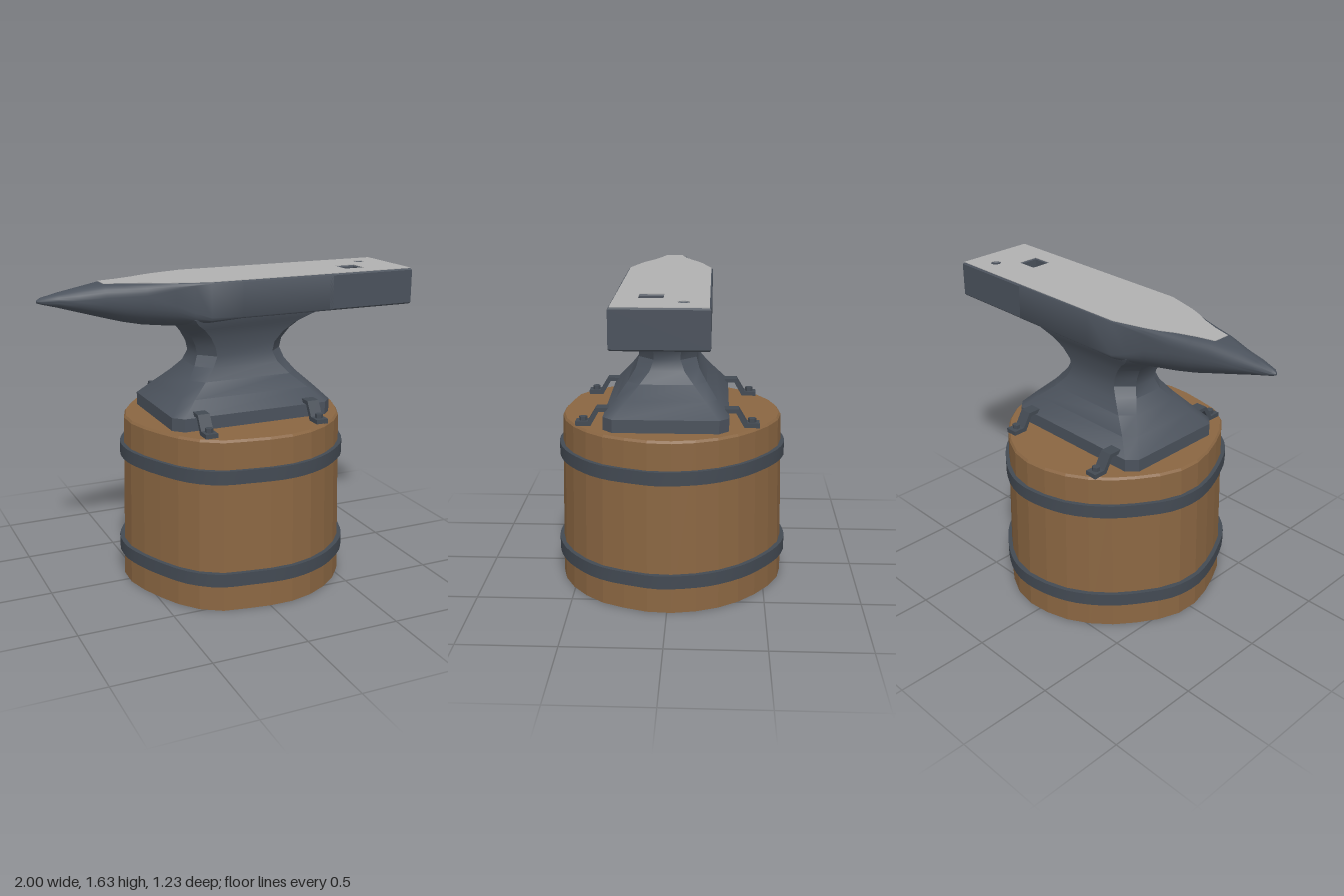
import * as THREE from 'three';
import { toCreasedNormals } from 'three/addons/utils/BufferGeometryUtils.js';

const V = (x, y, z) => new THREE.Vector3(x, y, z);
const CZ = 0.012; // middle line of the anvil in z

// Skin a list of closed rings; rings run counter-clockwise seen from the last ring
function loft(rings, crease, caps = true) {
  const pos = [], idx = [], n = rings[0].length;
  rings.forEach(r => r.forEach(p => pos.push(p.x, p.y, p.z)));
  for (let i = 0; i < rings.length - 1; i++) {
    for (let j = 0; j < n; j++) {
      const a = i * n + j, b = i * n + (j + 1) % n;
      idx.push(a, b, b + n, a, b + n, a + n);
    }
  }
  if (caps) [0, rings.length - 1].forEach(i => {
    const mid = V(0, 0, 0);
    rings[i].forEach(p => mid.addScaledVector(p, 1 / n));
    const m = pos.length / 3;
    pos.push(mid.x, mid.y, mid.z);
    for (let j = 0; j < n; j++) {
      const a = i * n + j, b = i * n + (j + 1) % n;
      if (i === 0) idx.push(m, b, a); else idx.push(m, a, b);
    }
  });
  const g = new THREE.BufferGeometry();
  g.setAttribute('position', new THREE.Float32BufferAttribute(pos, 3));
  g.setIndex(idx);
  return toCreasedNormals(g, crease);
}

// Irregular log outline (x, z), sampled as a closed curve
const outline = new THREE.CatmullRomCurve3([
  [0.07, -0.62], [-0.18, -0.57], [-0.37, -0.44], [-0.50, -0.27], [-0.57, -0.13],
  [-0.585, 0.02], [-0.56, 0.14], [-0.50, 0.29], [-0.40, 0.46], [-0.27, 0.56],
  [-0.13, 0.59], [0.11, 0.612], [0.32, 0.55], [0.51, 0.40], [0.58, 0.29],
  [0.61, 0.21], [0.655, 0.05], [0.645, -0.08], [0.61, -0.21], [0.55, -0.32],
  [0.457, -0.43], [0.24, -0.58],
].map(([x, z]) => V(x, 0, z)), true);
const logRing = (y, s, sides) => outline.getSpacedPoints(sides).slice(0, sides)
  .map(p => V(0.035 + (p.x - 0.035) * s, y, p.z * s));

// Rectangle with cut corners at height y
function cutRect(y, x0, x1, h, c) {
  const z0 = CZ - h, z1 = CZ + h;
  return [[x1 - c, z0], [x0 + c, z0], [x0, z0 + c], [x0, z1 - c],
    [x0 + c, z1], [x1 - c, z1], [x1, z1 - c], [x1, z0 + c]].map(([x, z]) => V(x, y, z));
}

// Cross-section of horn and body: flat top and bottom joined by elliptical corners
function bodyRing([x, w, yt, yu, t, yl, b, yb]) {
  const K = 7, up = [], low = [];
  for (let k = 0; k <= K; k++) {
    const a = k / K * Math.PI / 2, c = Math.cos(a), s = Math.sin(a);
    up.push([t + (w - t) * c, yu + (yt - yu) * s]);
    low.push([b + (w - b) * c, yl + (yb - yl) * s]);
  }
  const side = (list, sign) => list.map(([z, y]) => V(x, y, CZ + sign * z));
  return [...side(up, -1), ...side(up, 1).reverse(), ...side(low, 1), ...side(low, -1).reverse()];
}

// Square tool hole and round punch hole, as shape holes in (x, z)
function toolHoles() {
  const square = new THREE.Path([[0.655, 0.005], [0.655, 0.12], [0.77, 0.12], [0.77, 0.005]]
    .map(p => new THREE.Vector2(...p)));
  const round = new THREE.Path();
  round.absarc(0.86, -0.09, 0.028, 0, Math.PI * 2, true);
  return [square, round];
}

// Horizontal slab from an (x, z) outline, hanging down from y = top
function slab(points, holes, top, opts) {
  const s = new THREE.Shape(points.map(p => new THREE.Vector2(...p)));
  s.holes = holes;
  return new THREE.ExtrudeGeometry(s, { curveSegments: 16, ...opts })
    .rotateX(Math.PI / 2).translate(0, top, 0);
}

export function createModel() {
  const mat = (name, color) => Object.assign(new THREE.MeshStandardMaterial({ color }), { name });
  const steel = mat('dark steel', 0x4b525c);
  const iron = mat('band iron', 0x434a53);
  const wood = mat('wood', 0x8a6642);
  const bright = mat('polished steel', 0xb0b0b0);

  const model = new THREE.Group();
  model.name = 'anvilOnStump';
  const add = (name, geo, material, parent = model) => {
    const m = new THREE.Mesh(geo, material);
    m.name = name;
    parent.add(m);
    return m;
  };

  // Stump with a small bevel on the top rim
  add('stump', loft([logRing(0, 0.972, 30), logRing(0.895, 0.94, 30), logRing(0.907, 0.925, 30)], 0.03), wood);

  // Iron bands
  [['lowerBand', 0.14, 1], ['upperBand', 0.685, 0.977]].forEach(([name, y, s]) => {
    const rings = [[y, s - 0.06], [y, s], [y + 0.07, s], [y + 0.07, s - 0.06]]
      .map(([h, k]) => logRing(h, k, 60));
    add(name, loft(rings, 0.6, false), iron);
  });

  // Foot block and flared waist
  add('foot', loft([cutRect(0.905, -0.41, 0.485, 0.317, 0.05),
    cutRect(0.975, -0.41, 0.485, 0.317, 0.05)], 0.5), steel);
  add('waist', loft([
    [0.975, -0.41, 0.485, 0.317, 0.05],
    [1.05, -0.335, 0.415, 0.256, 0.055],
    [1.12, -0.263, 0.345, 0.202, 0.065],
    [1.18, -0.213, 0.304, 0.163, 0.075],
    [1.235, -0.19, 0.285, 0.148, 0.08],
    [1.285, -0.2, 0.296, 0.15, 0.08],
    [1.34, -0.228, 0.338, 0.16, 0.078],
    [1.385, -0.265, 0.395, 0.175, 0.075],
    [1.415, -0.30, 0.45, 0.19, 0.07],
    [1.445, -0.32, 0.53, 0.198, 0.07],
  ].map(r => cutRect(...r)), 0.6), steel);

  // Horn running into the body: x, half width, top, upper corner, flat top, lower corner, flat bottom, bottom
  add('hornAndBody', loft([
    [-1, 0.006, 1.566, 1.561, 0, 1.559, 0, 1.553],
    [-0.98, 0.022, 1.578, 1.562, 0, 1.56, 0, 1.546],
    [-0.9, 0.046, 1.597, 1.565, 0, 1.56, 0, 1.525],
    [-0.8, 0.07, 1.616, 1.56, 0, 1.555, 0, 1.495],
    [-0.675, 0.1, 1.632, 1.57, 0.04, 1.55, 0, 1.458],
    [-0.58, 0.124, 1.632, 1.572, 0.068, 1.545, 0.01, 1.432],
    [-0.48, 0.148, 1.632, 1.575, 0.105, 1.54, 0.02, 1.412],
    [-0.345, 0.18, 1.632, 1.598, 0.165, 1.52, 0.06, 1.402],
    [-0.25, 0.206, 1.632, 1.615, 0.193, 1.48, 0.12, 1.41],
    [-0.17, 0.225, 1.632, 1.624, 0.215, 1.455, 0.19, 1.425],
    [0, 0.225, 1.632, 1.624, 0.217, 1.448, 0.217, 1.44],
    [0.52, 0.225, 1.632, 1.624, 0.217, 1.448, 0.217, 1.44],
  ].map(bodyRing), 0.7), steel);

  // Heel block pierced by both holes
  add('heel', slab([[0.5, CZ - 0.225], [1, CZ - 0.225], [1, CZ + 0.225], [0.5, CZ + 0.225]],
    toolHoles(), 1.624, { depth: 0.176, bevelSize: 0.008, bevelThickness: 0.008, bevelOffset: -0.008, bevelSegments: 1 }), steel);

  // Polished face plate
  const edge = [[-0.675, 0.045], [-0.58, 0.07], [-0.48, 0.107], [-0.41, 0.143],
    [-0.345, 0.168], [-0.25, 0.195], [-0.17, 0.217], [0.995, 0.217]];
  const faceOutline = [...edge.map(([x, h]) => [x, CZ - h]), ...edge.map(([x, h]) => [x, CZ + h]).reverse()];
  add('face', slab(faceOutline, toolHoles(), 1.635, { depth: 0.003, bevelEnabled: false }), bright);

  // Four hold-down clips with bolts; profile in (z, y)
  const clipShape = new THREE.Shape([[0.468, 0.905], [0.468, 0.93], [0.405, 0.93], [0.362, 1.003], [0.28, 1.003],
    [0.28, 0.983], [0.348, 0.983], [0.392, 0.905]].map(p => new THREE.Vector2(...p)));
  const clipGeo = new THREE.ExtrudeGeometry(clipShape, { depth: 0.065, bevelEnabled: false })
    .translate(0, 0, -0.0325).rotateY(-Math.PI / 2);
  const boltGeo = toCreasedNormals(new THREE.CylinderGeometry(0.021, 0.021, 0.022, 6), 0.5);
  for (const x of [-0.275, 0.34]) {
    for (const front of [true, false]) {
      const clip = new THREE.Group();
      clip.name = (front ? 'front' : 'back') + (x > 0 ? 'Left' : 'Right') + 'Clip';
      clip.position.set(x, 0, 0.008);
      clip.rotation.y = front ? 0 : Math.PI;
      add('strap', clipGeo, iron, clip);
      add('bolt', boltGeo, iron, clip).position.set(0, 0.94, 0.43);
      model.add(clip);
    }
  }
  return model;
}
